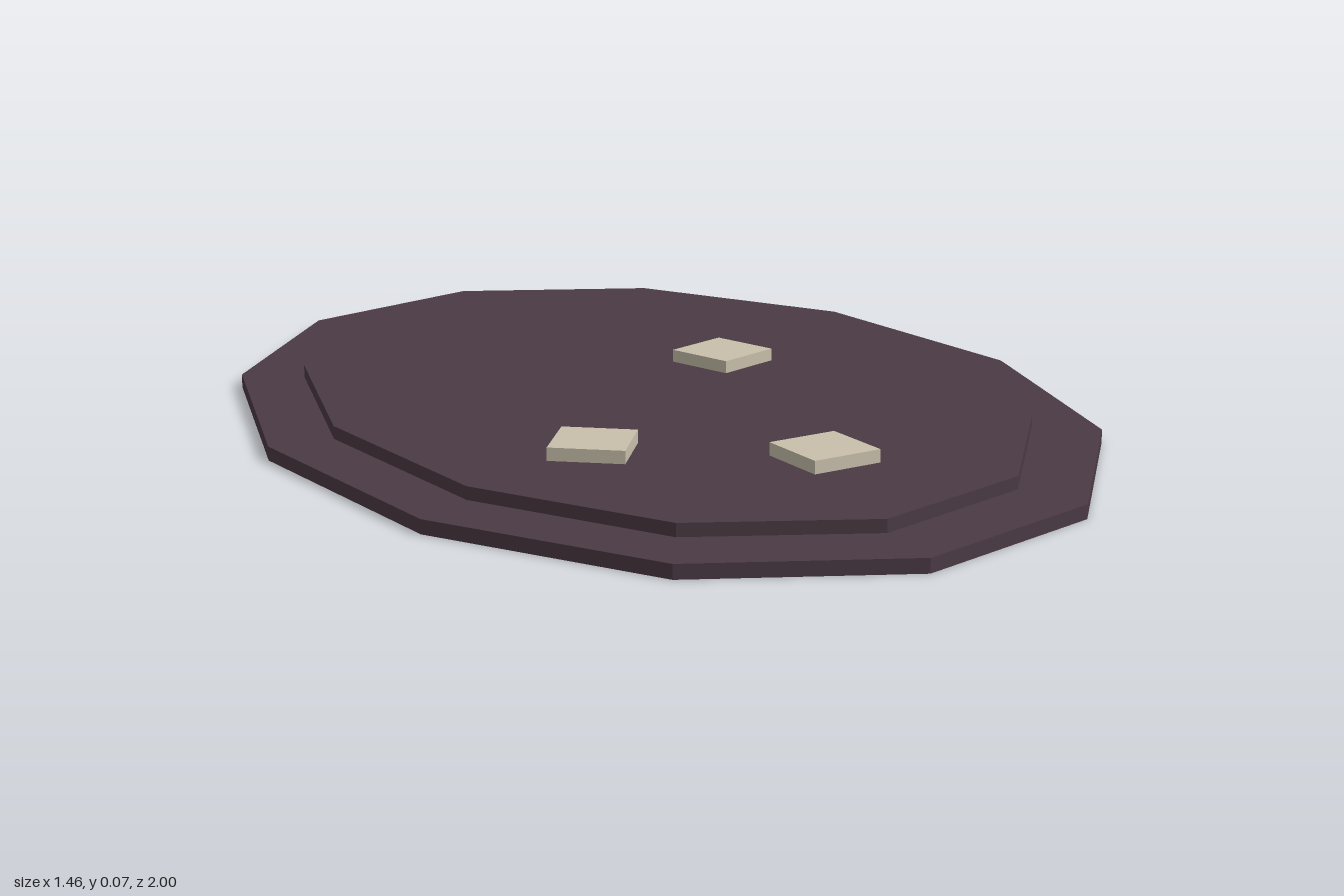
import * as THREE from 'three';

export function createModel() {
  const group = new THREE.Group();
  const plum = new THREE.MeshStandardMaterial({ name: 'darkPlum', color: 0x4a3a44 });
  const bone = new THREE.MeshStandardMaterial({ name: 'paleBone', color: 0xc8bfab });
  plum.flatShading = bone.flatShading = true;

  const add = (name, geometry, material, x, y, z) => {
    const mesh = new THREE.Mesh(geometry, material);
    mesh.name = name;
    mesh.position.set(x, y, z);
    group.add(mesh);
    return mesh;
  };

  // Twelve-sided oval slab resting at height y
  const slab = (name, rx, rz, y, h) =>
    add(name, new THREE.CylinderGeometry(1, 1, h, 12).scale(rx, 1, rz), plum, 0, y + h / 2, 0);
  slab('baseSlab', 0.731, 1, 0, 0.025);
  slab('raisedSlab', 0.613, 0.866, 0.025, 0.023);

  // Small square chips scattered on top: x, z, turn
  const chip = new THREE.BoxGeometry(0.132, 0.023, 0.132);
  [[0.2, -0.137, 0.41], [-0.267, 0.333, -0.58], [0.066, 0.532, 0.13]].forEach(([x, z, turn], i) => {
    add(`chip${i + 1}`, chip, bone, x, 0.0595, z).rotation.y = turn;
  });

  return group;
}
